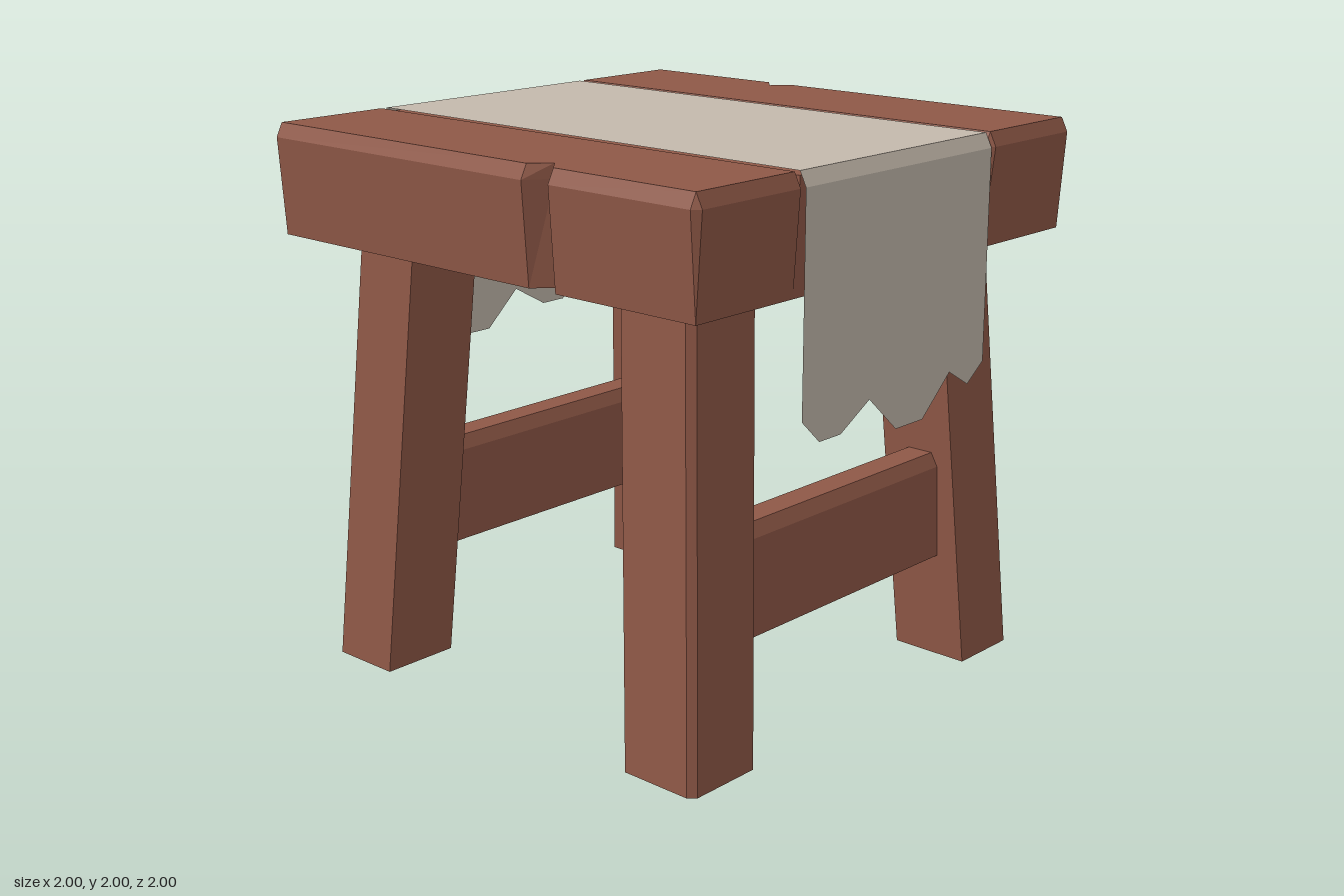
import * as THREE from 'three';

// Stack horizontal rings [{ y, pts: [[x, z], ...] }] into a closed faceted solid.
function loft(rings) {
  const flat = (r) => r.pts.map(([x, z]) => new THREE.Vector2(x, -z));
  if (THREE.ShapeUtils.area(flat(rings[1])) < 0) {
    rings = rings.map((r) => ({ y: r.y, pts: [...r.pts].reverse() }));
  }
  const pos = [];
  const put = (r, i) => pos.push(r.pts[i][0], r.y, r.pts[i][1]);
  const n = rings[0].pts.length;
  for (let k = 0; k < rings.length - 1; k++) {
    const lo = rings[k], hi = rings[k + 1];
    for (let i = 0; i < n; i++) {
      const j = (i + 1) % n;
      put(lo, i); put(lo, j); put(hi, j);
      put(lo, i); put(hi, j); put(hi, i);
    }
  }
  const bottom = rings[0], top = rings[rings.length - 1];
  for (const [a, b, c] of THREE.ShapeUtils.triangulateShape(flat(top), [])) {
    put(top, a); put(top, b); put(top, c);
  }
  for (const [a, b, c] of THREE.ShapeUtils.triangulateShape(flat(bottom), [])) {
    put(bottom, a); put(bottom, c); put(bottom, b);
  }
  const geo = new THREE.BufferGeometry();
  geo.setAttribute('position', new THREE.Float32BufferAttribute(pos, 3));
  geo.computeVertexNormals();
  return geo;
}

const rect = (x0, x1, z0, z1) => [[x0, z0], [x1, z0], [x1, z1], [x0, z1]];

export function createModel() {
  const model = new THREE.Group();
  model.name = 'stool';
  const wood = new THREE.MeshStandardMaterial({ color: 0x8f5847 });
  wood.name = 'reddish wood';
  const linen = new THREE.MeshStandardMaterial({ color: 0xc4b9ac, side: THREE.DoubleSide });
  linen.name = 'linen';

  const add = (name, geo, mat, turn = 0) => {
    const mesh = new THREE.Mesh(geo, mat);
    mesh.name = name;
    mesh.rotation.y = turn;
    model.add(mesh);
  };

  // Side plank: bevelled corners and a notch in the outer edge
  const c = 0.025;
  const outline = [
    [0.5, -1 + c], [0.5 + c, -1], [1 - c, -1], [1, -1 + c],
    [1, -0.385], [0.91, -0.325], [1, -0.265],
    [1, 1 - c], [1 - c, 1], [0.5 + c, 1], [0.5, 1 - c],
  ];
  const inset = (xMin) => outline.map(([x, z]) => [
    THREE.MathUtils.clamp(x, xMin, 1 - c),
    THREE.MathUtils.clamp(z, -1 + c, 1 - c),
  ]);
  const plank = loft([
    { y: 1.6, pts: inset(0.5) },
    { y: 1.95, pts: outline },
    { y: 2, pts: inset(0.5 + c) },
  ]);

  // Cloth half: flat top, folded edge, ragged hanging end
  const fold = new THREE.PlaneGeometry(1, 1, 1, 2);
  const profile = [[2, 0], [2, 0.975], [1.95, 1]];
  for (let i = 0; i < 6; i++) {
    const [y, z] = profile[Math.floor(i / 2)];
    fold.attributes.position.setXYZ(i, i % 2 ? 0.5 : -0.5, y, z);
  }
  const foldFlat = fold.toNonIndexed();
  foldFlat.computeVertexNormals();
  const hem = [
    [-0.5, 1.95], [-0.5, 1.2], [-0.41, 1.115], [-0.3, 1.115], [-0.15, 1.2], [0, 1.065],
    [0.15, 1.065], [0.3, 1.2], [0.41, 1.135], [0.5, 1.2], [0.5, 1.95],
  ];
  const drape = new THREE.ShapeGeometry(new THREE.Shape(hem.map(([x, y]) => new THREE.Vector2(x, y))));
  drape.translate(0, 0, 1);

  // Stretcher between the legs, bevelled along the top
  const stretcher = loft([
    { y: 0.4, pts: rect(-0.62, 0.62, 0.637, 0.787) },
    { y: 0.75, pts: rect(-0.62, 0.62, 0.637, 0.787) },
    { y: 0.8, pts: rect(-0.62, 0.62, 0.662, 0.762) },
  ]);

  // Parts repeated by a half turn
  for (const [side, other, turn] of [['left', 'front', 0], ['right', 'back', Math.PI]]) {
    add(`${side}SeatPlank`, plank, wood, turn);
    add(`${other}ClothTop`, foldFlat, linen, turn);
    add(`${other}ClothDrape`, drape, linen, turn);
    add(`${other}Stretcher`, stretcher, wood, turn);
  }

  // Middle plank under the cloth
  const middle = new THREE.BoxGeometry(1, 0.385, 1.95);
  middle.translate(0, 1.7925, 0);
  add('middleSeatPlank', middle, wood);

  // Splayed legs with a bevelled outer corner
  for (const sx of [-1, 1]) {
    for (const sz of [-1, 1]) {
      const section = (a, b) => [[a, a], [b, a], [b, b - c], [b - c, b], [a, b]]
        .map(([x, z]) => [x * sx, z * sz]);
      const leg = loft([
        { y: 0, pts: section(0.6, 0.9) },
        { y: 1.6, pts: section(0.5, 0.8) },
      ]);
      add(`${sz > 0 ? 'front' : 'back'}${sx > 0 ? 'Left' : 'Right'}Leg`, leg, wood);
    }
  }
  return model;
}
